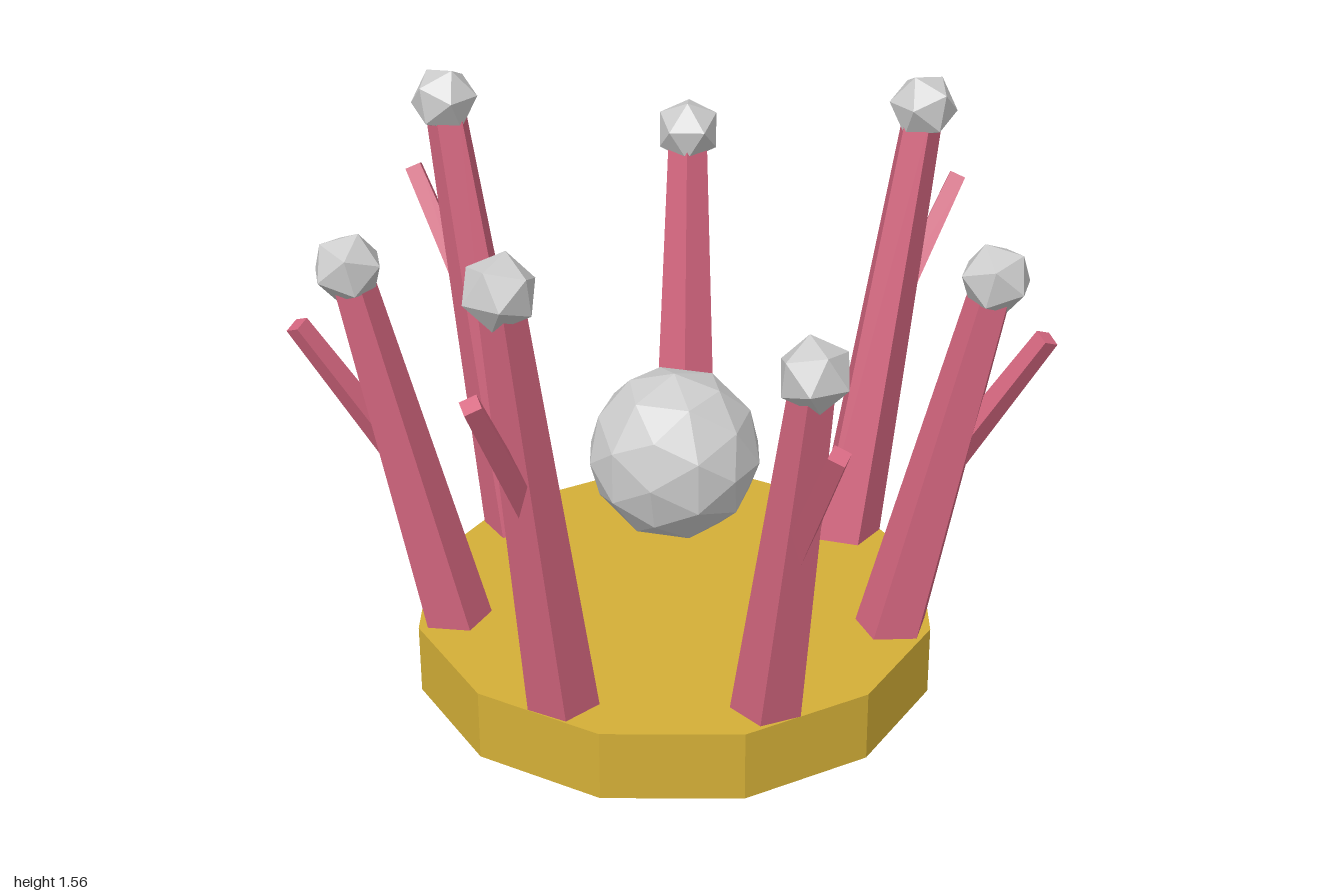
import * as THREE from 'three';

const UP = new THREE.Vector3(0, 1, 0);
const mat = (color) => new THREE.MeshStandardMaterial({ color, flatShading: true });

// Tapered prism between two points; spin turns its corners about its own axis
function taper(name, a, b, r0, r1, sides, spin, material) {
  const dir = b.clone().sub(a);
  const geo = new THREE.CylinderGeometry(r1, r0, dir.length(), sides);
  geo.rotateY(spin);
  const mesh = new THREE.Mesh(geo, material);
  mesh.name = name;
  mesh.position.copy(a).add(b).multiplyScalar(0.5);
  mesh.quaternion.setFromUnitVectors(UP, dir.normalize());
  return mesh;
}

export function createModel() {
  const group = new THREE.Group();
  const gold = mat(0xd4af37);
  const pink = mat(0xd4667f);
  const grey = mat(0xcccccc);
  const cx = -0.055;

  // Twelve-sided base
  const base = new THREE.Mesh(new THREE.CylinderGeometry(0.73, 0.73, 0.2, 12), gold);
  base.name = 'base';
  base.position.set(cx, 0.1, 0);
  group.add(base);

  // Floating faceted orb
  const orb = new THREE.Mesh(new THREE.IcosahedronGeometry(0.24, 1), grey);
  orb.name = 'centreOrb';
  orb.position.set(cx, 0.65, 0);
  group.add(orb);

  // Seven leaning prongs, alternately short and tall
  for (let i = 0; i < 7; i++) {
    const tall = i % 2 === 1;
    const prong = new THREE.Group();
    prong.name = 'prong';
    prong.position.x = cx;
    prong.rotation.y = (i / 7) * Math.PI * 2;

    const foot = new THREE.Vector3(0.615, 0.17, 0);
    const top = new THREE.Vector3(0.855, tall ? 1.47 : 1.27, 0);
    const stem = taper('stem', foot, top, 0.1, 0.058, 5, -Math.PI / 2, pink);

    // Side branch growing outward from the stem
    const lift = tall ? 0.115 : 0;
    const branch = taper('branch',
      new THREE.Vector3(0.735, 0.69 + lift, 0),
      new THREE.Vector3(0.995, 1.12 + lift, 0),
      0.042, 0.032, 4, 0, pink);

    // Faceted tip, tilted with the stem
    const tip = new THREE.Mesh(new THREE.IcosahedronGeometry(0.097, 0), grey);
    tip.name = 'tip';
    tip.position.copy(top);
    tip.quaternion.copy(stem.quaternion);

    prong.add(stem, branch, tip);
    group.add(prong);
  }
  return group;
}
